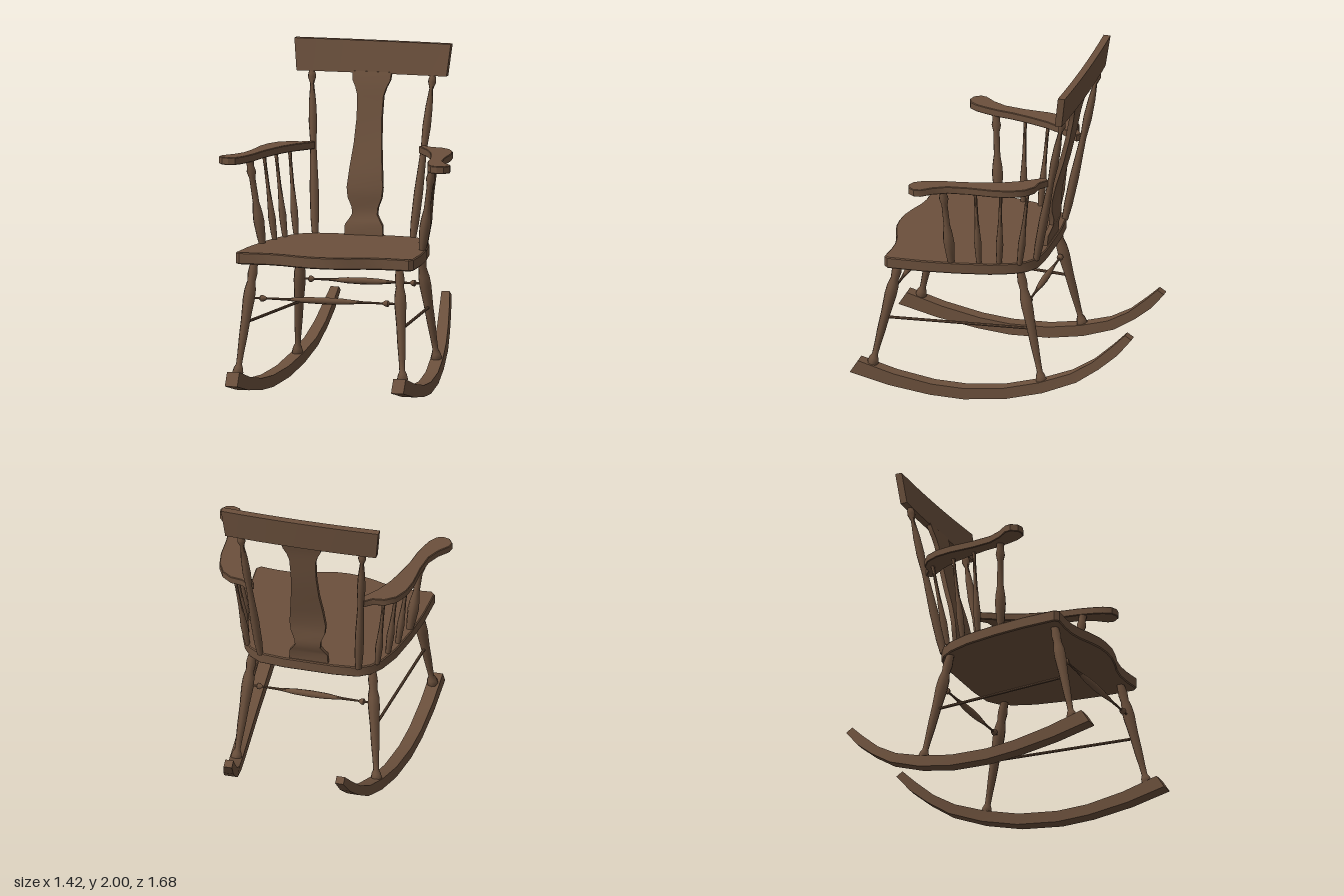
import * as THREE from 'three';
import { toCreasedNormals } from 'three/addons/utils/BufferGeometryUtils.js';

export function createModel() {
  const chair = new THREE.Group();
  chair.name = 'rockingChair';
  const wood = new THREE.MeshStandardMaterial({ color: 0x6b503c });
  wood.name = 'brownWood';

  const add = (name, geometry) => {
    const mesh = new THREE.Mesh(geometry, wood);
    mesh.name = name;
    chair.add(mesh);
    return mesh;
  };

  // Box whose vertices are moved by a rule; a, b, c run from -0.5 to 0.5
  const bentBox = (name, nx, ny, nz, rule) => {
    const geo = new THREE.BoxGeometry(1, 1, 1, nx, ny, nz);
    const p = geo.attributes.position;
    for (let i = 0; i < p.count; i++) {
      p.setXYZ(i, ...rule(p.getX(i), p.getY(i), p.getZ(i)));
    }
    return add(name, toCreasedNormals(geo, 0.6));
  };

  // Flat board cut from a plan outline of [x, z] points
  const board = (name, outline, y, thickness, bevel) => {
    const shape = new THREE.Shape();
    shape.setFromPoints(outline.map(([x, z]) => new THREE.Vector2(x, -z)));
    const geo = new THREE.ExtrudeGeometry(shape, {
      depth: thickness - 2 * bevel, bevelEnabled: true, bevelThickness: bevel,
      bevelSize: bevel, bevelOffset: -bevel, bevelSegments: 1,
    });
    geo.rotateX(-Math.PI / 2).translate(0, y + bevel, 0);
    return add(name, toCreasedNormals(geo, 0.6));
  };

  // Turned part between two points; profile is [radius, fraction of length]
  const turned = (name, from, to, profile, scale = 1) => {
    const a = new THREE.Vector3(...from), b = new THREE.Vector3(...to);
    const dir = b.clone().sub(a), length = dir.length();
    const points = [[0, 0], ...profile, [0, 1]].map(
      ([r, t]) => new THREE.Vector2(r * scale, t * length));
    const mesh = add(name, toCreasedNormals(new THREE.LatheGeometry(points, 8), 1));
    mesh.position.copy(a);
    mesh.quaternion.setFromUnitVectors(new THREE.Vector3(0, 1, 0), dir.normalize());
    return mesh;
  };

  const legProfile = [[0.024, 0], [0.034, 0.04], [0.028, 0.08], [0.018, 0.11], [0.02, 0.2],
    [0.026, 0.35], [0.029, 0.5], [0.037, 0.68], [0.035, 0.76], [0.025, 0.83], [0.03, 0.9], [0.022, 1]];
  const spindleProfile = [[0.015, 0], [0.019, 0.1], [0.023, 0.27], [0.018, 0.4],
    [0.012, 0.6], [0.01, 0.85], [0.012, 1]];
  const postProfile = [[0.02, 0], [0.027, 0.1], [0.034, 0.28], [0.03, 0.38], [0.02, 0.5],
    [0.019, 0.78], [0.029, 0.86], [0.022, 0.92], [0.026, 1]];
  const stileProfile = [[0.019, 0], [0.026, 0.1], [0.028, 0.28], [0.022, 0.45], [0.019, 0.55],
    [0.026, 0.68], [0.022, 0.8], [0.012, 0.91], [0.025, 0.95], [0.023, 0.97], [0.013, 1]];
  const railProfile = [[0.006, 0], [0.007, 0.07], [0.02, 0.08], [0.018, 0.1], [0.006, 0.12],
    [0.008, 0.25], [0.018, 0.38], [0.021, 0.5], [0.018, 0.62], [0.008, 0.75],
    [0.006, 0.88], [0.018, 0.9], [0.02, 0.92], [0.007, 0.93], [0.006, 1]];

  // Seat
  const half = [[0, 0.695], [0.08, 0.69], [0.16, 0.67], [0.25, 0.64], [0.33, 0.625], [0.42, 0.625],
    [0.52, 0.635], [0.545, 0.61], [0.535, 0.4], [0.51, 0.2], [0.47, 0], [0.42, -0.13],
    [0.37, -0.2], [0.3, -0.245], [0.15, -0.26]];
  const mirrored = half.slice(1).reverse().map(([x, z]) => [-x, z]);
  board('seat', [...half, ...mirrored], 0.8, 0.07, 0.006);

  // Rocker stations, back to front: low z, low y, high z, high y, centre x, half width
  const rocker = [
    [-0.84, 0.44, -0.8, 0.465, 0.34, 0.025], [-0.76, 0.34, -0.72, 0.385, 0.356, 0.03],
    [-0.65, 0.245, -0.61, 0.285, 0.376, 0.034], [-0.52, 0.155, -0.48, 0.205, 0.398, 0.037],
    [-0.32, 0.075, -0.3, 0.14, 0.428, 0.038], [-0.1, 0.022, -0.09, 0.09, 0.458, 0.038],
    [0.15, 0, 0.15, 0.07, 0.484, 0.038], [0.35, 0.01, 0.34, 0.08, 0.498, 0.038],
    [0.6, 0.045, 0.57, 0.12, 0.507, 0.038], [0.84, 0.1, 0.79, 0.18, 0.51, 0.038]];

  // Arm plan outline
  const arm = [[0.32, -0.3], [0.35, -0.325], [0.4, -0.285], [0.47, -0.275], [0.53, -0.23],
    [0.57, -0.15], [0.588, -0.05], [0.593, 0.1], [0.61, 0.22], [0.65, 0.3], [0.7, 0.36],
    [0.708, 0.4], [0.68, 0.44], [0.64, 0.45], [0.6, 0.435], [0.57, 0.39], [0.55, 0.33],
    [0.53, 0.25], [0.515, 0.15], [0.485, 0.03], [0.45, -0.08], [0.4, -0.18], [0.35, -0.25]];

  // Arm spindles: bottom x, bottom z, top x, top z
  const spindles = [[0.46, 0.07, 0.525, 0.075], [0.43, -0.045, 0.495, -0.075],
    [0.395, -0.16, 0.455, -0.23]];

  for (const [side, s] of [['left', 1], ['right', -1]]) {
    bentBox(side + 'Rocker', 1, 1, rocker.length - 1, (a, b, c) => {
      const r = rocker[Math.round((c + 0.5) * (rocker.length - 1))];
      return [s * r[4] + a * 2 * r[5], b < 0 ? r[1] : r[3], b < 0 ? r[0] : r[2]];
    });
    turned(side + 'FrontLeg', [s * 0.508, 0.14, 0.715], [s * 0.445, 0.81, 0.565], legProfile);
    turned(side + 'BackLeg', [s * 0.43, 0.115, -0.31], [s * 0.365, 0.81, -0.155], legProfile);
    turned(side + 'SideStretcher', [s * 0.48, 0.455, 0.645], [s * 0.398, 0.455, -0.235],
      [[0.009, 0], [0.009, 1]]);
    board(side + 'Arm', arm.map(([x, z]) => [s * x, z]), 1.36, 0.045, 0.004);
    turned(side + 'ArmPost', [s * 0.49, 0.86, 0.232], [s * 0.56, 1.37, 0.265], postProfile);
    for (const [x0, z0, x1, z1] of spindles) {
      turned(side + 'ArmSpindle', [s * x0, 0.86, z0], [s * x1, 1.37, z1], spindleProfile);
    }
    turned(side + 'BackStile', [s * 0.3, 0.86, -0.235], [s * 0.372, 1.82, -0.42], stileProfile);
  }

  // Cross stretchers between the legs
  turned('frontStretcher', [-0.465, 0.6, 0.612], [0.465, 0.6, 0.612], railProfile);
  turned('backStretcher', [-0.385, 0.6, -0.2], [0.385, 0.6, -0.2], railProfile);

  // Central splat stations: y, half width, z
  const splat = [[0.86, 0.118, -0.235], [0.93, 0.115, -0.24], [0.955, 0.098, -0.25],
    [0.99, 0.077, -0.262], [1.03, 0.08, -0.265], [1.09, 0.104, -0.26], [1.15, 0.11, -0.262],
    [1.26, 0.1, -0.285], [1.4, 0.085, -0.325], [1.55, 0.077, -0.36], [1.68, 0.08, -0.385],
    [1.73, 0.095, -0.395], [1.77, 0.115, -0.405], [1.82, 0.12, -0.42]];
  bentBox('backSplat', 1, splat.length - 1, 1, (a, b, c) => {
    const [y, w, z] = splat[Math.round((b + 0.5) * (splat.length - 1))];
    return [a * 2 * w, y, z + c * 0.028];
  });

  // Crest rail, bowed slightly backwards
  bentBox('crestRail', 8, 1, 1, (a, b, c) => [
    a * 2 * (b < 0 ? 0.46 : 0.48), b < 0 ? 1.81 : 2,
    (b < 0 ? -0.417 : -0.442) - 0.012 * (1 - 4 * a * a) + c * 0.042]);

  return chair;
}
